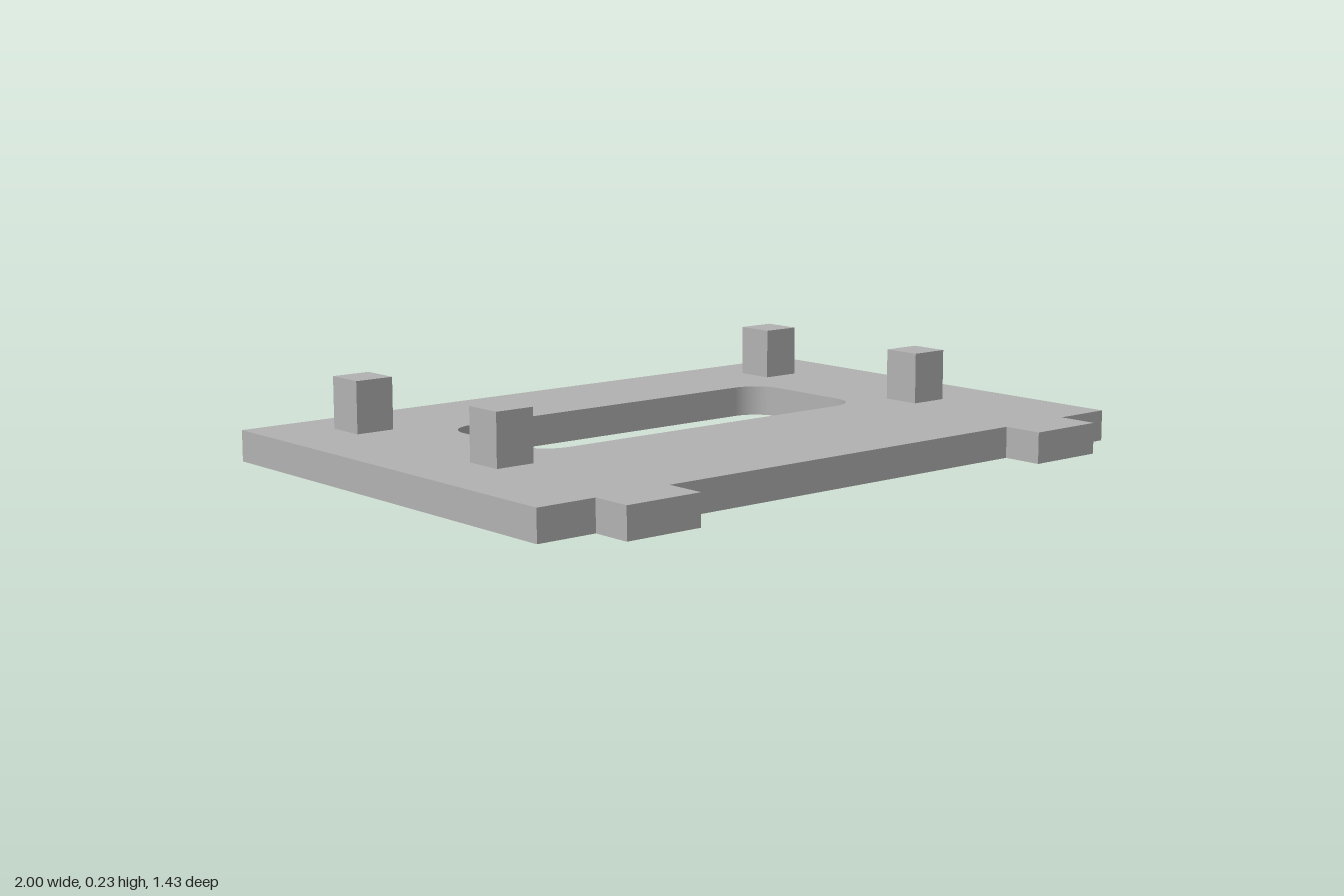
import * as THREE from 'three';

const PLATE_H = 0.086, PEG_TOP = 0.23;

// Rounded rectangle path in plan (shape y = -z)
function roundedSlot(x0, y0, x1, y1, r) {
  const p = new THREE.Path();
  p.absarc(x1 - r, y0 + r, r, -Math.PI / 2, 0);
  p.absarc(x1 - r, y1 - r, r, 0, Math.PI / 2);
  p.absarc(x0 + r, y1 - r, r, Math.PI / 2, Math.PI);
  p.absarc(x0 + r, y0 + r, r, Math.PI, Math.PI * 1.5);
  p.closePath();
  return p;
}

export function createModel() {
  const model = new THREE.Group();
  model.name = 'mountingPlate';
  const grey = new THREE.MeshStandardMaterial({ color: 0xb2b2b2 });
  grey.name = 'plain grey';

  // Flat plate with two front tabs and a rounded slot
  const back = 0.715, front = -0.6, tab = -0.715;
  const outline = new THREE.Shape([
    [-1, back], [-1, front], [-0.827, front], [-0.827, tab], [-0.6, tab], [-0.6, front],
    [0.6, front], [0.6, tab], [0.827, tab], [0.827, front], [1, front], [1, back],
  ].map(([x, y]) => new THREE.Vector2(x, y)));
  outline.holes.push(roundedSlot(-0.573, -0.055, 0.573, 0.375, 0.09));
  const plateGeo = new THREE.ExtrudeGeometry(outline, { depth: PLATE_H, bevelEnabled: false, curveSegments: 10 });
  plateGeo.rotateX(-Math.PI / 2);
  const plate = new THREE.Mesh(plateGeo, grey);
  plate.name = 'plate';
  model.add(plate);

  // Four square pegs standing on the plate
  const pegGeo = new THREE.BoxGeometry(0.114, PEG_TOP - PLATE_H, 0.114);
  for (const [side, sx] of [['left', 1], ['right', -1]]) {
    for (const [row, z] of [['Front', 0.115], ['Back', -0.514]]) {
      const peg = new THREE.Mesh(pegGeo, grey);
      peg.name = `${side}${row}Peg`;
      peg.position.set(sx * 0.742, (PEG_TOP + PLATE_H) / 2, z);
      model.add(peg);
    }
  }
  return model;
}
